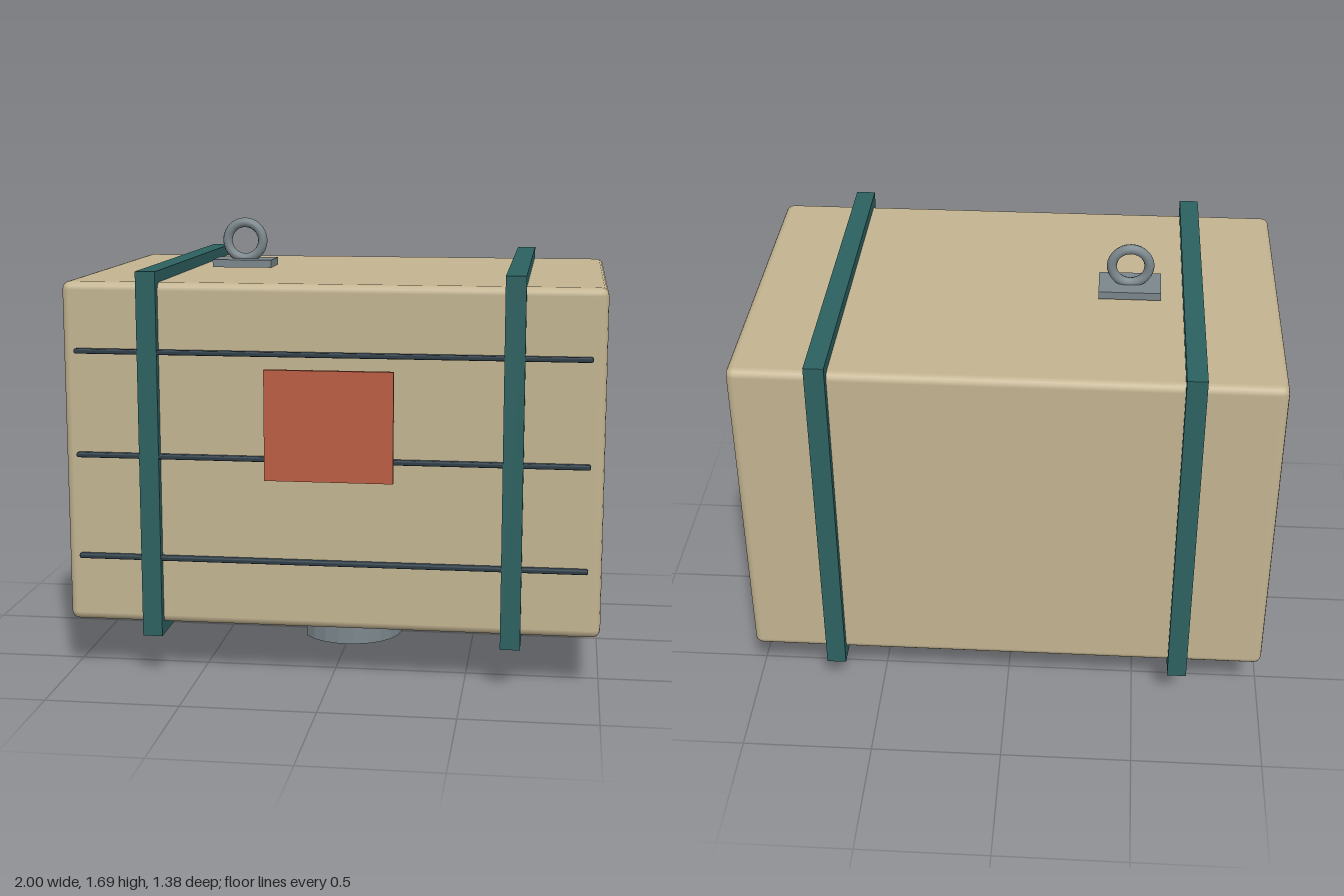
import * as THREE from 'three';
import { RoundedBoxGeometry } from 'three/addons/geometries/RoundedBoxGeometry.js';

function material(name, color) {
  const m = new THREE.MeshStandardMaterial({ color });
  m.name = name;
  return m;
}

export function createModel() {
  const model = new THREE.Group();
  const tan = material('tan', 0xc3b491);
  const teal = material('teal', 0x2d6161);
  const navy = material('navy', 0x2d3c46);
  const red = material('red', 0xba5d43);
  const steel = material('steel', 0x7b878c);

  const add = (name, geometry, mat, x, y, z) => {
    const mesh = new THREE.Mesh(geometry, mat);
    mesh.name = name;
    mesh.position.set(x, y, z);
    model.add(mesh);
    return mesh;
  };

  // Main crate with softly bevelled edges
  const midY = 0.847;
  add('crate', new RoundedBoxGeometry(2, 1.29, 1.31, 2, 0.03), tan, 0, midY, 0);

  // Square straps running all the way round the crate
  const square = (Path, w, h) => new Path([
    new THREE.Vector2(-w, -h), new THREE.Vector2(w, -h),
    new THREE.Vector2(w, h), new THREE.Vector2(-w, h),
  ]);
  const strapShape = square(THREE.Shape, 0.688, 0.688);
  strapShape.holes.push(square(THREE.Path, 0.64, 0.63));
  const strapWidth = 0.074;
  const strapGeometry = new THREE.ExtrudeGeometry(strapShape, { depth: strapWidth, bevelEnabled: false });
  strapGeometry.translate(0, 0, -strapWidth / 2).rotateY(Math.PI / 2);
  for (const side of [-1, 1]) {
    add(side < 0 ? 'rightStrap' : 'leftStrap', strapGeometry, teal, side * 0.672, midY, 0);
  }

  // Slim horizontal rails on the front
  [0.46, 0.848, 1.238].forEach((y, i) => {
    add(`frontRail${i + 1}`, new RoundedBoxGeometry(1.9, 0.018, 0.032, 1, 0.006), navy, 0, y, 0.669);
  });

  // Front placard
  add('placard', new THREE.BoxGeometry(0.476, 0.412, 0.018), red, 0, 0.977, 0.683);

  // Lifting eye and its mounting plate
  add('eyePlate', new THREE.BoxGeometry(0.236, 0.03, 0.155), steel, -0.433, 1.515, 0);
  add('liftingEye', new THREE.TorusGeometry(0.071, 0.019, 10, 28), steel, -0.433, 1.603, 0);

  // Round foot with one flat side facing -x
  const footShape = new THREE.Shape();
  const halfArc = THREE.MathUtils.degToRad(148);
  const steps = 18;
  for (let i = 0; i <= steps; i++) {
    const a = -halfArc + (2 * halfArc * i) / steps;
    const x = 0.205 * Math.cos(a), y = 0.205 * Math.sin(a);
    if (i === 0) footShape.moveTo(x, y);
    else footShape.lineTo(x, y);
  }
  footShape.closePath();
  const footGeometry = new THREE.ExtrudeGeometry(footShape, { depth: 0.163, bevelEnabled: false });
  footGeometry.rotateX(-Math.PI / 2);
  add('foot', footGeometry, steel, 0, 0, 0);

  return model;
}
